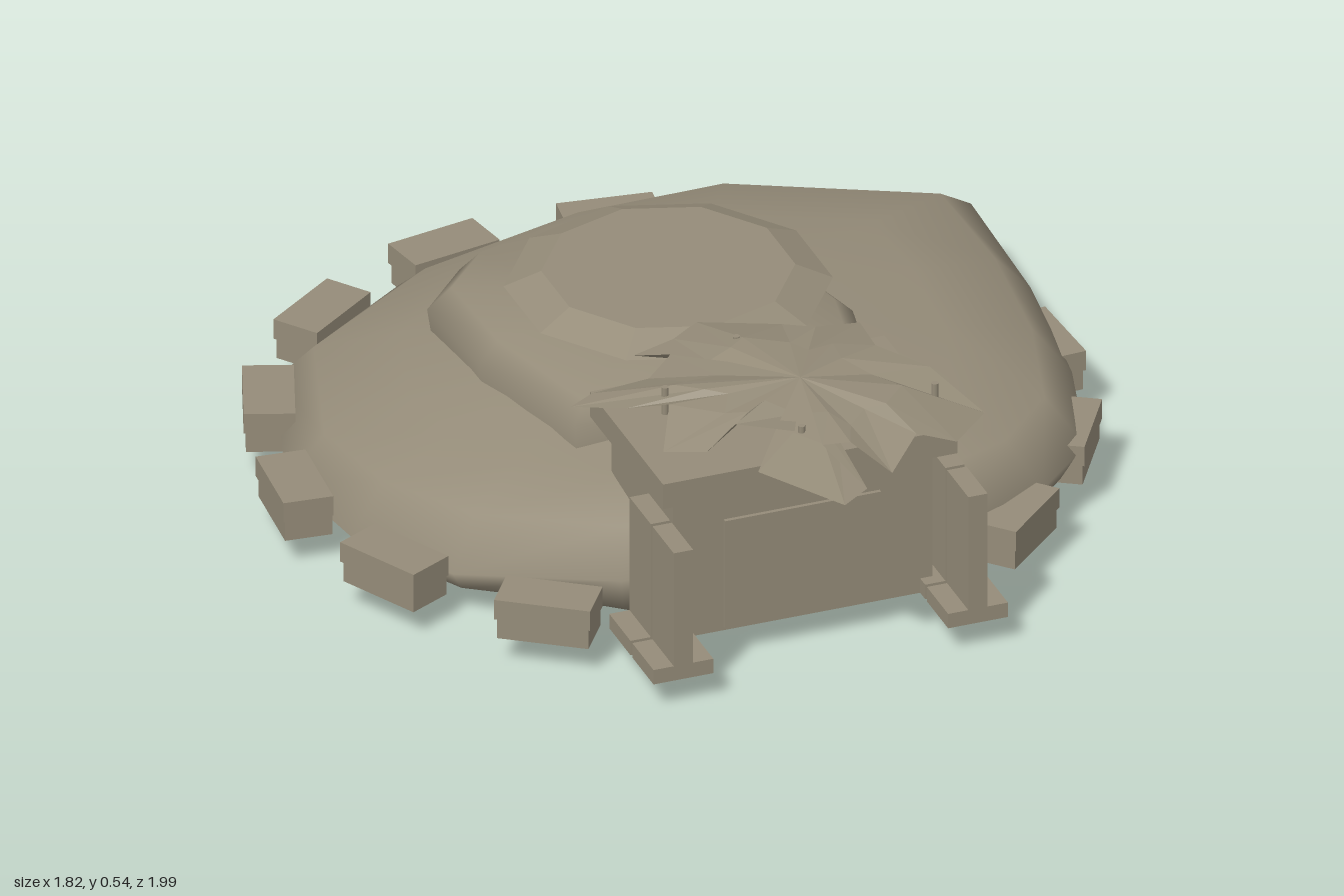
import * as THREE from 'three';

const stone = new THREE.MeshStandardMaterial({ color: 0x958c79 });
stone.name = 'weathered stone';
const sheetStone = new THREE.MeshStandardMaterial({ color: 0x958c79, flatShading: true, side: THREE.DoubleSide });
sheetStone.name = 'weathered stone, faceted';

// Skin a stack of equal-length rings, lowest first, running clockwise seen from above
function loft(rings) {
  const n = rings[0].length, pos = rings.flat(2), idx = [];
  for (let i = 0; i < rings.length - 1; i++) {
    for (let j = 0; j < n; j++) {
      const k = (j + 1) % n, a = i * n + j, b = i * n + k, c = a + n, d = b + n;
      idx.push(a, c, b, b, c, d);
    }
  }
  const g = new THREE.BufferGeometry();
  g.setAttribute('position', new THREE.Float32BufferAttribute(pos, 3));
  g.setIndex(idx);
  g.computeVertexNormals();
  return g;
}

function add(parent, name, geometry, x = 0, y = 0, z = 0, material = stone) {
  const m = new THREE.Mesh(geometry, material);
  m.name = name;
  m.position.set(x, y, z);
  parent.add(m);
  return m;
}

// Box given by its limits on each axis
function block(parent, name, [x0, x1], [y0, y1], [z0, z1]) {
  return add(parent, name, new THREE.BoxGeometry(x1 - x0, y1 - y0, z1 - z0),
    (x0 + x1) / 2, (y0 + y1) / 2, (z0 + z1) / 2);
}

// Irregular mound outline: x, z, rim height, shoulder height
const MOUND = [
  [0.06, -0.845, 0.2, 0.27], [0.43, -0.85, 0.21, 0.27], [0.89, -0.62, 0.2, 0.27], [0.89, -0.27, 0.18, 0.28],
  [0.86, 0.05, 0.15, 0.265], [0.78, 0.34, 0.14, 0.25], [0.62, 0.5, 0.15, 0.25], [0.4, 0.61, 0.18, 0.27],
  [0, 0.64, 0.19, 0.28], [-0.37, 0.58, 0.17, 0.26], [-0.66, 0.34, 0.12, 0.23], [-0.79, 0.08, 0.1, 0.21],
  [-0.83, -0.2, 0.1, 0.2], [-0.71, -0.58, 0.12, 0.21], [-0.35, -0.78, 0.17, 0.24],
];

// Upper dome outline: x, z, edge height, shoulder height
const DOME = [
  [-0.03, -0.66, 0.31, 0.36], [0.2, -0.66, 0.31, 0.35], [0.27, -0.43, 0.34, 0.38], [0.35, -0.25, 0.34, 0.38],
  [0.4, -0.05, 0.34, 0.375], [0.37, 0.1, 0.34, 0.375], [0.3, 0.25, 0.34, 0.375], [0, 0.28, 0.36, 0.395],
  [-0.34, 0.23, 0.36, 0.395], [-0.43, -0.1, 0.35, 0.4], [-0.44, -0.38, 0.34, 0.4], [-0.3, -0.55, 0.32, 0.38],
];

// Scale an outline about a centre and lift each point by a rule
const ring = (outline, s, lift, cx = 0, cz = -0.1) =>
  outline.map(p => [cx + (p[0] - cx) * s, lift(p), cz + (p[1] - cz) * s]);

// Torn canopy outline, clockwise from the back: x, z, height
const CANOPY = [
  [-0.03, 0.14, 0.5], [0.13, 0.23, 0.51], [0.18, 0.3, 0.53], [0.3, 0.25, 0.49], [0.27, 0.42, 0.53],
  [0.35, 0.53, 0.52], [0.41, 0.7, 0.485], [0.3, 0.82, 0.5], [0.22, 0.79, 0.52], [0.13, 0.88, 0.49],
  [0.07, 0.79, 0.53], [0.01, 0.78, 0.53], [0.05, 0.94, 0.5], [-0.02, 0.99, 0.5], [-0.14, 0.79, 0.5],
  [-0.03, 0.72, 0.54], [-0.13, 0.63, 0.53], [-0.21, 0.67, 0.5], [-0.29, 0.62, 0.49], [-0.23, 0.5, 0.53],
  [-0.31, 0.45, 0.51], [-0.4, 0.36, 0.485], [-0.34, 0.33, 0.49], [-0.23, 0.38, 0.53], [-0.15, 0.3, 0.53],
  [-0.2, 0.21, 0.49], [-0.1, 0.19, 0.5],
];

export function createModel() {
  const model = new THREE.Group();
  model.name = 'burial mound';

  // Mound with a shallow rounded underside
  add(model, 'mound', loft([
    ring(MOUND, 0, () => 0.005),
    ring(MOUND, 0.5, () => 0.012),
    ring(MOUND, 0.85, () => 0.035),
    ring(MOUND, 0.96, p => 0.03 + p[2] * 0.35),
    ring(MOUND, 1, p => p[2]),
    ring(MOUND, 0.9, p => p[3]),
    ring(MOUND, 0.68, p => p[3] * 0.5 + 0.165),
    ring(MOUND, 0.4, () => 0.345),
    ring(MOUND, 0, () => 0.36),
  ]));

  // Dome rising out of the mound
  add(model, 'upperDome', loft([
    ring(DOME, 0.97, () => 0.24),
    ring(DOME, 1, p => p[2]),
    ring(DOME, 0.9, p => p[3]),
    ring(DOME, 0.5, p => p[3] * 0.4 + 0.265),
    ring(DOME, 0, () => 0.455),
  ], 0, -0.15));

  // Ten-sided capstone, with crisp bevel
  const cap = new THREE.CylinderGeometry(0.27, 0.35, 0.035, 10).toNonIndexed();
  cap.computeVertexNormals();
  add(model, 'capstone', cap, 0, 0.483, -0.1).rotation.y = Math.PI;

  // Ring of kerb stones, open at the entrance
  for (let i = 1; i < 13; i++) {
    const a = (i + 0.5) * Math.PI / 7;
    const kerb = new THREE.Group();
    kerb.name = 'kerbStone';
    kerb.position.set(0.85 * Math.sin(a), 0, -0.1 + 0.85 * Math.cos(a));
    kerb.rotation.y = a + 0.1 * Math.sin(i * 2.3);
    block(kerb, 'kerbLower', [-0.1, 0.1], [0.07, 0.118], [-0.055, 0.05]);
    block(kerb, 'kerbUpper', [-0.105, 0.105], [0.118, 0.165], [-0.055, 0.055]);
    model.add(kerb);
  }

  // Entrance chamber, door and lintel slab
  const entrance = new THREE.Group();
  entrance.name = 'entrance';
  model.add(entrance);
  block(entrance, 'chamber', [-0.295, 0.295], [0.07, 0.42], [0.33, 0.69]);
  block(entrance, 'door', [-0.18, 0.175], [0.08, 0.34], [0.69, 0.699]);
  block(entrance, 'roofSlab', [-0.335, 0.335], [0.42, 0.48], [0.305, 0.735]);

  // Upright slabs on foot plates, two on each side
  for (const side of [-1, 1]) {
    for (const z of [0.657, 0.792]) {
      const upright = new THREE.Group();
      upright.name = 'uprightSlab';
      upright.position.set(side * 0.335, 0, z);
      block(upright, 'foot', [-0.068, 0.068], [0.07, 0.105], [-0.0625, 0.0625]);
      block(upright, 'slab', [-0.022, 0.022], [0.105, 0.38], [-0.0625, 0.0625]);
      entrance.add(upright);
    }
  }

  // Crumpled canopy held on four thin pegs
  const uneven = (x, z) => 0.01 * Math.sin(x * 23 + z * 17);
  const canopy = loft([
    ring(CANOPY, 1, p => p[2]),
    ring(CANOPY, 0.55, p => 0.535 + uneven(p[0], p[1]), 0.06, 0.52),
    ring(CANOPY, 0, () => 0.548, 0.06, 0.52),
  ]);
  add(model, 'canopy', canopy, 0, 0, 0, sheetStone);
  for (const [x, z] of [[0, 0.3], [-0.22, 0.45], [0.32, 0.64], [-0.01, 0.71]]) {
    add(model, 'canopyPeg', new THREE.CylinderGeometry(0.008, 0.008, 0.065, 8), x, 0.512, z);
  }

  return model;
}
